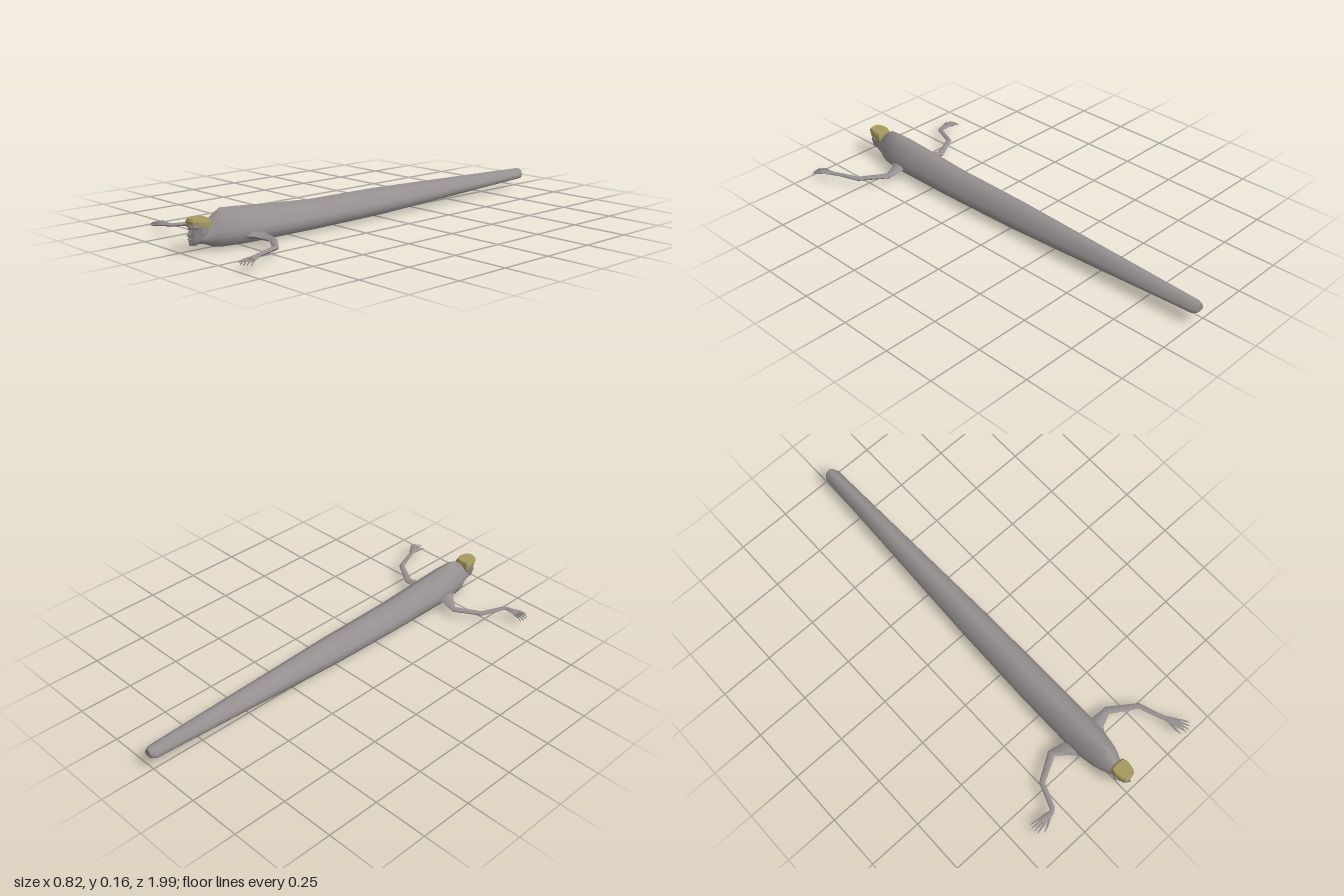
import * as THREE from 'three';
import { toCreasedNormals } from 'three/addons/utils/BufferGeometryUtils.js';

const skin = new THREE.MeshStandardMaterial({ color: 0x969090 });
skin.name = 'grey skin';
const hairColour = new THREE.MeshStandardMaterial({ color: 0xa59a5e });
hairColour.name = 'straw hair';

const CX = 0.027; // body axis

// Closed, capped skin over a list of rings of Vector3
function loft(rings, crease = 1.0) {
  const n = rings[0].length, pos = [], idx = [];
  rings.forEach(r => r.forEach(p => pos.push(p.x, p.y, p.z)));
  for (let i = 0; i < rings.length - 1; i++) {
    for (let j = 0; j < n; j++) {
      const a = i * n + j, b = i * n + (j + 1) % n;
      idx.push(a, b, b + n, a, b + n, a + n);
    }
  }
  const last = (rings.length - 1) * n;
  for (let j = 1; j < n - 1; j++) idx.push(0, j + 1, j, last, last + j, last + j + 1);
  // Signed volume decides whether the faces point outwards
  const v = i => new THREE.Vector3().fromArray(pos, i * 3);
  let vol = 0;
  for (let i = 0; i < idx.length; i += 3) vol += v(idx[i]).dot(v(idx[i + 1]).cross(v(idx[i + 2])));
  if (vol < 0) idx.reverse();
  const g = new THREE.BufferGeometry();
  g.setAttribute('position', new THREE.Float32BufferAttribute(pos, 3));
  g.setIndex(idx);
  return toCreasedNormals(g, crease);
}

// Full ring from half a ring that starts and ends on the middle line
const mirrorHalf = half => [...half, ...half.slice(1, -1).reverse().map(([a, b]) => [-a, b])];

function add(parent, name, geometry, material = skin) {
  const m = new THREE.Mesh(geometry, material);
  m.name = name;
  parent.add(m);
  return m;
}

// Limb along stations [x, y, z, half width, half height]
function limb(stations, sides = 6) {
  const pts = stations.map(s => new THREE.Vector3(s[0], s[1], s[2]));
  return loft(stations.map((s, i) => {
    const dir = pts[Math.min(i + 1, pts.length - 1)].clone().sub(pts[Math.max(i - 1, 0)]).setY(0).normalize();
    const side = new THREE.Vector3(dir.z, 0, -dir.x);
    return Array.from({ length: sides }, (_, j) => {
      const a = j / sides * Math.PI * 2;
      return pts[i].clone().addScaledVector(side, Math.cos(a) * s[3])
        .add(new THREE.Vector3(0, Math.sin(a) * s[4], 0));
    });
  }));
}

// Hand at the wrist, pointing along angle (0 = +x, toward +z); thumb is +1 or -1
function hand(parent, name, wrist, angle, thumb) {
  const g = new THREE.Group();
  g.name = name;
  parent.add(g);
  const c = Math.cos(angle), s = Math.sin(angle);
  const at = (along, across, dy, w, h) =>
    [wrist[0] + c * along - s * across, wrist[1] + dy, wrist[2] + s * along + c * across, w, h];
  add(g, 'palm', limb([at(-0.01, 0, 0, 0.009, 0.007), at(0.02, 0, 0.002, 0.016, 0.008), at(0.06, 0, 0.002, 0.019, 0.006)]));
  for (let i = 0; i < 4; i++) {
    const t = (i - 1.5) * 0.0105, len = 0.108 - Math.abs(i - 1.5) * 0.006;
    add(g, 'finger', limb([at(0.052, t, 0.002, 0.0045, 0.0045), at(0.082, t * 1.25, 0.001, 0.004, 0.004),
      at(len, t * 1.5, -0.008, 0.002, 0.002)], 5));
  }
  add(g, 'thumb', limb([at(0.02, thumb * 0.01, 0, 0.007, 0.006), at(0.052, thumb * 0.03, -0.002, 0.005, 0.005),
    at(0.078, thumb * 0.04, -0.007, 0.002, 0.002)], 5));
}

export function createModel() {
  const model = new THREE.Group();
  model.name = 'crawling figure';

  // Long tapering body: [z, half width, top, bottom]
  const section = mirrorHalf([[0, 1], [0.52, 0.85], [0.88, 0.5], [1, 0.32], [0.76, 0.08], [0, 0]]);
  const body = [
    [-1, 0.022, 0.09, 0.05], [-0.98, 0.036, 0.094, 0.044], [-0.5, 0.053, 0.111, 0.026],
    [0, 0.071, 0.128, 0.008], [0.38, 0.079, 0.131, 0.005], [0.65, 0.08, 0.15, 0.004],
    [0.75, 0.077, 0.158, 0.003], [0.83, 0.063, 0.163, 0.004], [0.86, 0.052, 0.145, 0.01],
    [0.9, 0.034, 0.112, 0.026], [0.94, 0.024, 0.1, 0.036],
  ];
  add(model, 'body', loft(body.map(([z, w, top, bot]) =>
    section.map(([x, y]) => new THREE.Vector3(CX + x * w, bot + y * (top - bot), z))), 1.2));

  // Head from chin to brow: [y, half width, front z, middle ridge, back z]
  const head = new THREE.Group();
  head.name = 'head';
  model.add(head);
  const skull = [
    [0.032, 0.014, 0.97, 0.004, 0.945], [0.045, 0.024, 0.972, 0.004, 0.925],
    [0.06, 0.029, 0.971, 0.004, 0.91], [0.066, 0.03, 0.969, 0.004, 0.905],
    [0.074, 0.032, 0.97, 0.015, 0.9], [0.09, 0.035, 0.967, 0.009, 0.897],
    [0.097, 0.036, 0.966, 0.007, 0.896], [0.104, 0.037, 0.974, 0.003, 0.895],
    [0.122, 0.037, 0.969, 0.002, 0.895], [0.134, 0.032, 0.96, 0.002, 0.9],
  ];
  add(head, 'face', loft(skull.map(([y, w, f, ridge, b]) =>
    mirrorHalf([[0, f + ridge], [0.22, f], [0.62, f - 0.006], [0.88, f - 0.022],
      [1, f * 0.45 + b * 0.55], [0.8, b + 0.004], [0, b]])
      .map(([x, z]) => new THREE.Vector3(CX + x * w, y, z))), 0.6));

  // Hair cap, lower at the back: [scale, front y, back y]
  const rim = mirrorHalf([[0, 0.977], [0.024, 0.971], [0.036, 0.95], [0.041, 0.915], [0.034, 0.892], [0, 0.888]]);
  const hair = [[1, 0.119, 0.098], [1.01, 0.129, 0.122], [0.86, 0.139, 0.136]];
  add(head, 'hair', loft(hair.map(([s, f, b]) => rim.map(([x, z]) => new THREE.Vector3(
    CX + x * s, b + (f - b) * (z - 0.888) / 0.089, 0.932 + (z - 0.932) * s))), 0.5), hairColour);

  for (const side of [-1, 1]) {
    // Ears, brows and eyes
    const ear = add(head, 'ear', new THREE.CylinderGeometry(0.013, 0.009, 0.007, 6));
    ear.rotation.z = -side * Math.PI / 2;
    ear.position.set(CX + side * 0.039, 0.093, 0.928);
    const eye = add(head, 'eye', new THREE.SphereGeometry(0.0055, 8, 6));
    eye.scale.set(1.2, 0.6, 0.6);
    eye.position.set(CX + side * 0.015, 0.094, 0.963);
  }
  const lips = add(head, 'lips', new THREE.SphereGeometry(0.01, 8, 6));
  lips.scale.set(1.1, 0.35, 0.5);
  lips.position.set(CX, 0.057, 0.972);

  // Left arm, hand reaching forward
  add(model, 'leftArm', limb([
    [0.07, 0.047, 0.725, 0.05, 0.018], [0.11, 0.045, 0.7, 0.032, 0.014], [0.185, 0.038, 0.69, 0.018, 0.01],
    [0.3, 0.04, 0.767, 0.013, 0.009], [0.345, 0.04, 0.885, 0.01, 0.007]]));
  hand(model, 'leftHand', [0.348, 0.038, 0.89], 1.1, 1);

  // Right arm, hand turned outward
  add(model, 'rightArm', limb([
    [-0.016, 0.047, 0.725, 0.05, 0.018], [-0.06, 0.045, 0.695, 0.032, 0.014], [-0.128, 0.038, 0.665, 0.018, 0.01],
    [-0.245, 0.04, 0.73, 0.013, 0.009], [-0.288, 0.04, 0.838, 0.012, 0.007], [-0.305, 0.04, 0.85, 0.01, 0.007]]));
  hand(model, 'rightHand', [-0.304, 0.038, 0.849], Math.PI, -1);

  return model;
}
